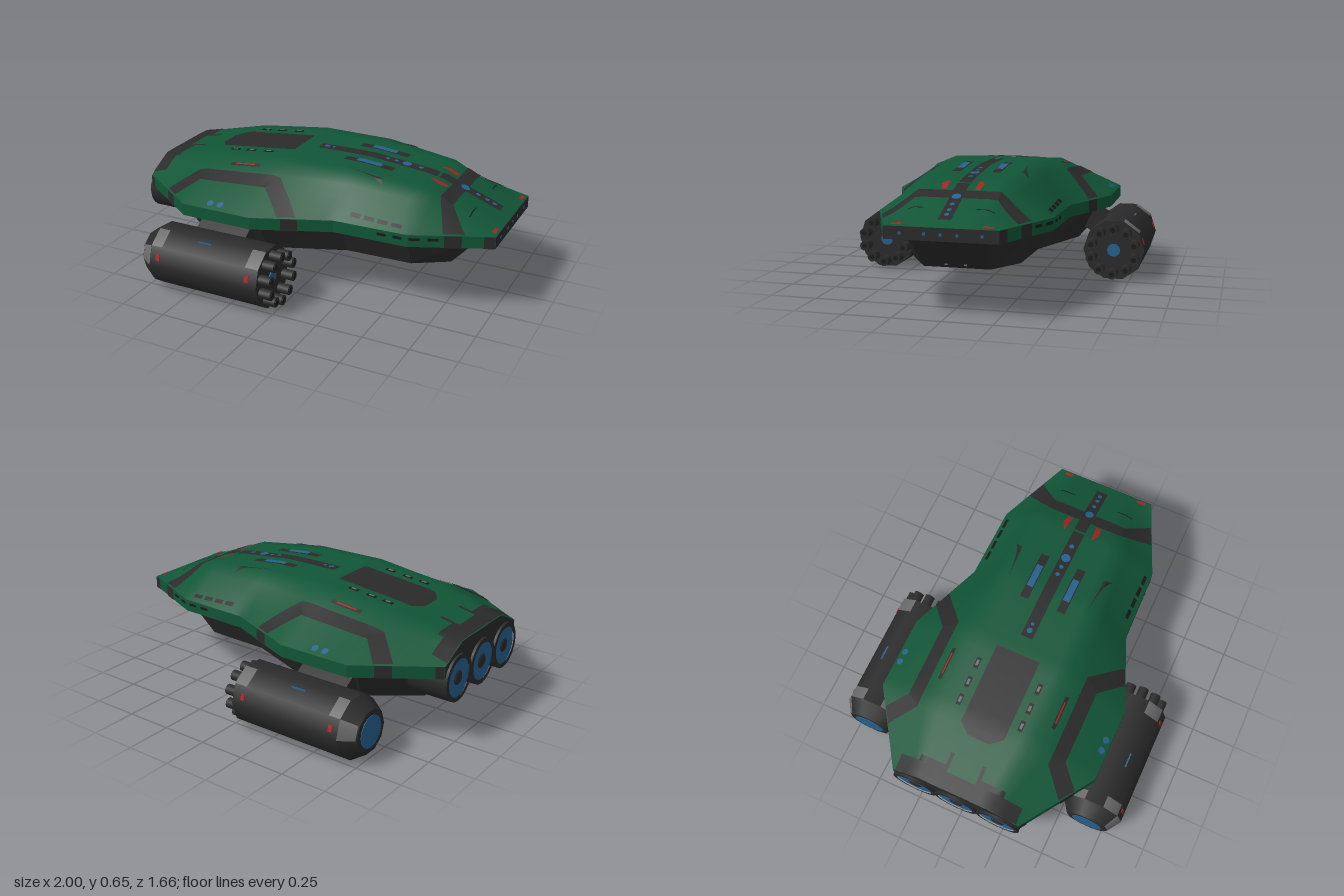
import * as THREE from 'three';

const mat = (name, color) => new THREE.MeshStandardMaterial({ name, color });

export function createModel() {
  const green = mat('hull green', 0x115537), dark = mat('dark metal', 0x2b2a2b);
  const grey = mat('worn grey', 0x6b6b6b), blue = mat('light blue glow', 0x25618f);
  const red = mat('marker red', 0xa82222), black = mat('window black', 0x191919);
  const root = new THREE.Group();
  root.name = 'spaceship';

  const add = (name, geo, material, parent = root) => {
    const m = new THREE.Mesh(geo, material);
    m.name = name;
    parent.add(m);
    return m;
  };

  // Surface from a rule giving the point at integer grid position i, j
  const grid = (n, m, fn, flat = false) => {
    const pos = [], idx = [];
    for (let j = 0; j <= m; j++) for (let i = 0; i <= n; i++) pos.push(...fn(i, j));
    for (let j = 0; j < m; j++) for (let i = 0; i < n; i++) {
      const a = j * (n + 1) + i, b = a + n + 1;
      idx.push(a, a + 1, b + 1, a, b + 1, b);
    }
    let g = new THREE.BufferGeometry();
    g.setAttribute('position', new THREE.Float32BufferAttribute(pos, 3));
    g.setIndex(idx);
    if (flat) g = g.toNonIndexed();
    g.computeVertexNormals();
    return g;
  };

  // Hull stations: x, rim half width, roof half width, roof height
  const BACK = -0.985, LOW = 0.38, RIM = 0.445;
  const stations = [
    [-1, 0.35, 0.2, 0.52], [-0.6, 0.62, 0.26, 0.6], [-0.2, 0.62, 0.28, 0.642],
    [0.2, 0.46, 0.27, 0.642], [0.6, 0.45, 0.23, 0.6], [1, 0.28, 0.15, RIM],
  ];
  const at = (x, k) => {
    let i = 0;
    while (i < 4 && x > stations[i + 1][0]) i++;
    const p = stations[i], q = stations[i + 1];
    return p[k] + (q[k] - p[k]) * (x - p[0]) / (q[0] - p[0]);
  };
  const deckY = (x, z) => {
    const w = at(x, 1), t = at(x, 2), h = at(x, 3), a = Math.abs(z);
    return a <= t ? h : h + (RIM - h) * Math.min(1, (a - t) / (w - t));
  };

  // Upper hull
  add('upperDeck', grid(40, 16, (i, j) => {
    const x = Math.max(BACK, -1 + i * 0.05), v = 1 - j / 8, s = Math.abs(v) * 2;
    const w = at(x, 1), t = at(x, 2);
    const z = Math.sign(v) * (s < 1 ? t * s : t + (w - t) * (s - 1));
    return [x, deckY(x, z), z];
  }), green);
  const side = stations.map(([x, w]) => [Math.max(x, BACK), x < BACK ? at(BACK, 1) : w]);
  const outline = new THREE.Shape([...side, ...side.map(([x, w]) => [x, -w]).reverse()]
    .map(([x, z]) => new THREE.Vector2(x, z)));
  const rimGeo = new THREE.ExtrudeGeometry(outline, { depth: RIM - 0.001 - LOW, bevelEnabled: false });
  rimGeo.rotateX(-Math.PI / 2).translate(0, LOW, 0);
  add('hullRim', rimGeo, green);

  // Dark end plates
  const w0 = at(BACK, 1), t0 = at(BACK, 2), h0 = at(BACK, 3);
  const rear = new THREE.ShapeGeometry(new THREE.Shape([[-w0, LOW], [w0, LOW], [w0, RIM], [t0, h0], [-t0, h0], [-w0, RIM]]
    .map(p => new THREE.Vector2(...p))));
  add('rearPlate', rear.rotateY(-Math.PI / 2).translate(BACK - 0.002, 0, 0), dark);
  add('nosePlate', new THREE.BoxGeometry(0.004, 0.064, 0.56).translate(1, 0.412, 0), dark);
  for (const z of [-0.2, -0.08, 0, 0.08, 0.2])
    add('noseLight', new THREE.BoxGeometry(0.004, 0.014, 0.014).translate(1.002, 0.412, z), blue);

  // Lower hull: top and bottom outlines as x, half width
  const upper = [[-0.9, 0.3], [-0.6, 0.53], [-0.2, 0.53], [0.2, 0.37], [0.56, 0.36], [0.9, 0.2]];
  const lower = [[-0.82, 0.25], [-0.56, 0.44], [-0.2, 0.44], [0.2, 0.29], [0.56, 0.28], [0.74, 0.17]];
  const loop = a => [...a, ...a.map(([x, z]) => [x, -z]).reverse(), a[0]];
  const up = loop(upper), lo = loop(lower);
  add('lowerHullSides', grid(12, 1, (i, j) => {
    const p = (j ? up : lo)[i];
    return [p[0], j ? LOW : 0.2, p[1]];
  }, true), dark);
  add('lowerHullBottom', grid(5, 1, (i, j) => [lower[i][0], 0.2, lower[i][1] * (j ? 1 : -1)]), dark);

  // Painted patches that follow the deck; corners are x, z
  const patch = (name, q, material, lift = 0.005) => {
    let area = 0;
    q.forEach((p, i) => { const n = q[(i + 1) % 4]; area += p[0] * n[1] - n[0] * p[1]; });
    const [a, b, c, d] = area > 0 ? [...q].reverse() : q;
    add(name, grid(10, 10, (i, j) => {
      const u = i / 10, v = j / 10;
      const f = k => (a[k] * (1 - u) + b[k] * u) * (1 - v) + (d[k] * (1 - u) + c[k] * u) * v;
      return [f(0), deckY(f(0), f(1)) + lift, f(1)];
    }), material);
  };
  const rect = (name, x0, x1, z0, z1, material, lift) =>
    patch(name, [[x0, z0], [x1, z0], [x1, z1], [x0, z1]], material, lift);
  const dot = (name, x, z, r, material, lift = 0.008) => add(name, grid(10, 1, (i, j) => {
    const a = i * Math.PI / 5, k = j ? 0 : r, px = x + k * Math.cos(a), pz = z - k * Math.sin(a);
    return [px, deckY(px, pz) + lift, pz];
  }), material);
  const rimPatch = (name, x0, x1, s, y0, y1, material) => add(name, grid(4, 1, (i, j) => {
    const x = x0 + (x1 - x0) * (s > 0 ? i : 4 - i) / 4;
    return [x, j ? y1 : y0, s * (at(x, 1) + 0.004)];
  }), material);

  // Centre line markings
  rect('spineStripe', -0.1, 0.94, -0.033, 0.033, dark);
  rect('roofPanel', -0.64, -0.2, -0.122, 0.122, dark);
  patch('roofPanelTip', [[-0.69, -0.06], [-0.64, -0.122], [-0.64, 0.122], [-0.69, 0.06]], dark);
  rect('noseBand', 0.68, 0.75, -0.21, 0.21, dark);
  rect('rearBand', BACK, -0.9, -0.345, 0.345, dark);
  for (const [x, r] of [[-0.06, 0.016], [-0.02, 0.01], [0.3, 0.012], [0.35, 0.012], [0.41, 0.026],
    [0.49, 0.014], [0.74, 0.024], [0.81, 0.012], [0.86, 0.012], [0.9, 0.012]]) dot('spineLight', x, 0, r, blue);

  for (const s of [1, -1]) {
    const m = q => q.map(([x, z]) => [x, z * s]);
    // Side bands above the pods, carried down the rim
    patch('sideBandBack', m([[-0.78, 0.493], [-0.65, 0.375], [-0.6, 0.45], [-0.7, 0.548]]), dark);
    patch('sideBandMiddle', m([[-0.65, 0.375], [-0.15, 0.375], [-0.2, 0.45], [-0.6, 0.45]]), dark);
    patch('sideBandFront', m([[-0.15, 0.375], [0.02, 0.528], [-0.07, 0.565], [-0.2, 0.45]]), dark);
    rimPatch('sideBandRimBack', -0.78, -0.71, s, LOW, RIM, dark);
    rimPatch('sideBandRimFront', -0.05, 0.03, s, LOW, RIM, dark);
    // Nose and tail trim
    patch('noseBandArm', m([[0.68, 0.21], [0.75, 0.21], [0.86, 0.335], [0.76, 0.377]]), dark);
    rimPatch('noseBandRim', 0.77, 0.85, s, LOW, RIM, dark);
    rimPatch('noseTipRim', 0.95, 1, s, LOW, RIM, dark);
    rimPatch('tailRim', BACK, -0.95, s, LOW, RIM, dark);
    rect('tailTooth', -0.9, -0.8, s * 0.08, s * 0.1, dark);
    rect('tailStep', -0.9, -0.87, s * 0.08, s * 0.24, dark);
    // Blue panels, red markers, windows and lights
    rect('blueFrame', 0.1, 0.38, s * 0.083, s * 0.13, dark);
    rect('bluePanel', 0.17, 0.31, s * 0.088, s * 0.124, blue, 0.008);
    patch('redMarker', m([[0.57, 0.08], [0.62, 0.108], [0.67, 0.098], [0.67, 0.07]]), red);
    rect('noseRedMark', 0.97, 0.99, s * 0.2, s * 0.25, red);
    rect('redLampFrame', -0.48, -0.3, s * 0.315, s * 0.335, dark);
    rect('redLamp', -0.45, -0.33, s * 0.321, s * 0.329, red, 0.008);
    patch('deckSlash', m([[0.16, 0.231], [0.37, 0.242], [0.39, 0.285], [0.34, 0.25]]), dark);
    rect('noseSeam', 0.84, 0.846, s * 0.13, s * 0.22, black);
    for (const x of [-0.57, -0.47, -0.36]) {
      rect('roofWindow', x, x + 0.06, s * 0.162, s * 0.188, black);
      rect('roofWindowPane', x + 0.015, x + 0.045, s * 0.168, s * 0.182, grey, 0.008);
    }
    for (let i = 0; i < 4; i++) {
      rect('sideWindow', 0.28 + i * 0.075, 0.335 + i * 0.075, s * 0.415, s * 0.433, black);
      rimPatch('rimWindow', 0.44 + i * 0.085, 0.49 + i * 0.085, s, 0.415, 0.43, black);
    }
    for (const x of [-0.45, -0.39]) dot('sideLight', x, s * 0.59, 0.018, blue);
    // Belly markers
    add('bellyMarker', new THREE.BoxGeometry(0.07, 0.004, 0.04).translate(0.29, 0.199, s * 0.13), red);
    add('frontLamp', new THREE.BoxGeometry(0.02, 0.015, 0.015).translate(0.75, 0.222, s * 0.05), grey);
    addPod(s);
  }

  // Three main engines
  for (const z of [-0.24, 0, 0.24]) {
    const g = new THREE.Group();
    g.name = 'mainEngine';
    g.position.set(0, 0.345, z);
    root.add(g);
    const xCyl = (r0, r1, x0, x1, open) =>
      new THREE.CylinderGeometry(r1, r0, x1 - x0, 20, 1, open).rotateZ(-Math.PI / 2).translate((x0 + x1) / 2, 0, 0);
    add('engineBody', xCyl(0.124, 0.124, -0.984, -0.78, false), dark, g);
    add('engineShell', xCyl(0.124, 0.124, -1, -0.984, true), dark, g);
    add('engineLip', new THREE.RingGeometry(0.1, 0.124, 20).rotateY(-Math.PI / 2).translate(-1, 0, 0), dark, g);
    add('engineGlow', new THREE.CircleGeometry(0.105, 20).rotateY(-Math.PI / 2).translate(-0.993, 0, 0), blue, g);
    add('engineHub', xCyl(0.03, 0.05, -0.999, -0.985, false), dark, g);
  }

  // Weapon pod with its pylon on side s
  function addPod(s) {
    const pod = new THREE.Group();
    pod.name = s > 0 ? 'leftPod' : 'rightPod';
    pod.position.set(0, 0.162, s * 0.66);
    root.add(pod);
    const R = 0.168, step = Math.PI / 5;
    const tube = (name, r0, r1, x0, x1, material, { n = 10, open = false, from = 0, count = n } = {}) => {
      const len = count * 2 * Math.PI / n, start = s > 0 ? from : Math.PI - from - len;
      const g = new THREE.CylinderGeometry(r1, r0, x1 - x0, count, 1, open, start, len);
      return add(name, g.rotateZ(-Math.PI / 2).translate((x0 + x1) / 2, 0, 0), material, pod);
    };
    tube('podBody', R, R, -0.69, -0.05, dark);
    tube('podTail', 0.115, R, -0.77, -0.69, dark);
    const patchAt = (name, x0, x1, r0, r1, facet, material) =>
      tube(name, r0 + 0.003, r1 + 0.003, x0, x1, material, { open: true, from: facet * step, count: 1 });
    // Worn plates on the upper outer faces and low front corner
    patchAt('tailPlate', -0.69, -0.625, R, R, -2, grey);
    patchAt('innerTailPlate', -0.69, -0.64, R, R, -4, grey);
    patchAt('tailBevelPlate', -0.765, -0.69, 0.118, R, -1, grey);
    patchAt('frontPlate', -0.125, -0.05, R, R, -2, grey);
    patchAt('lowFrontPlate', -0.1, -0.05, R, R, 1, grey);
    for (const x of [-0.645, -0.11])
      add('podRedMark', new THREE.BoxGeometry(0.022, 0.035, 0.006).rotateX(-s * 0.31).translate(x, 0.045, s * 0.154), red, pod);
    add('podBlueLine', new THREE.BoxGeometry(0.08, 0.006, 0.008).translate(-0.4, 0.144, s * 0.075), blue, pod);
    tube('podExhaust', 0.085, 0.085, -0.773, -0.765, blue, { n: 16 });
    tube('podCore', 0.036, 0.036, -0.052, -0.044, blue, { n: 12 });
    // Ring of barrels
    for (let i = 0; i < 10; i++) {
      const a = (i + 0.5) * step, y = 0.123 * Math.sin(a), z = 0.123 * Math.cos(a);
      tube('barrel', 0.028, 0.028, -0.05, 0.015, dark, { n: 10 }).position.set(0, y, z);
      tube('barrelBore', 0.015, 0.015, 0.012, 0.017, black, { n: 8 }).position.set(0, y, z);
    }
    const pylon = add('pylon', new THREE.BoxGeometry(0.3, 0.09, 0.24), dark);
    pylon.position.set(-0.41, 0.28, s * 0.5);
    pylon.rotation.x = s * 0.56;
  }

  return root;
}
